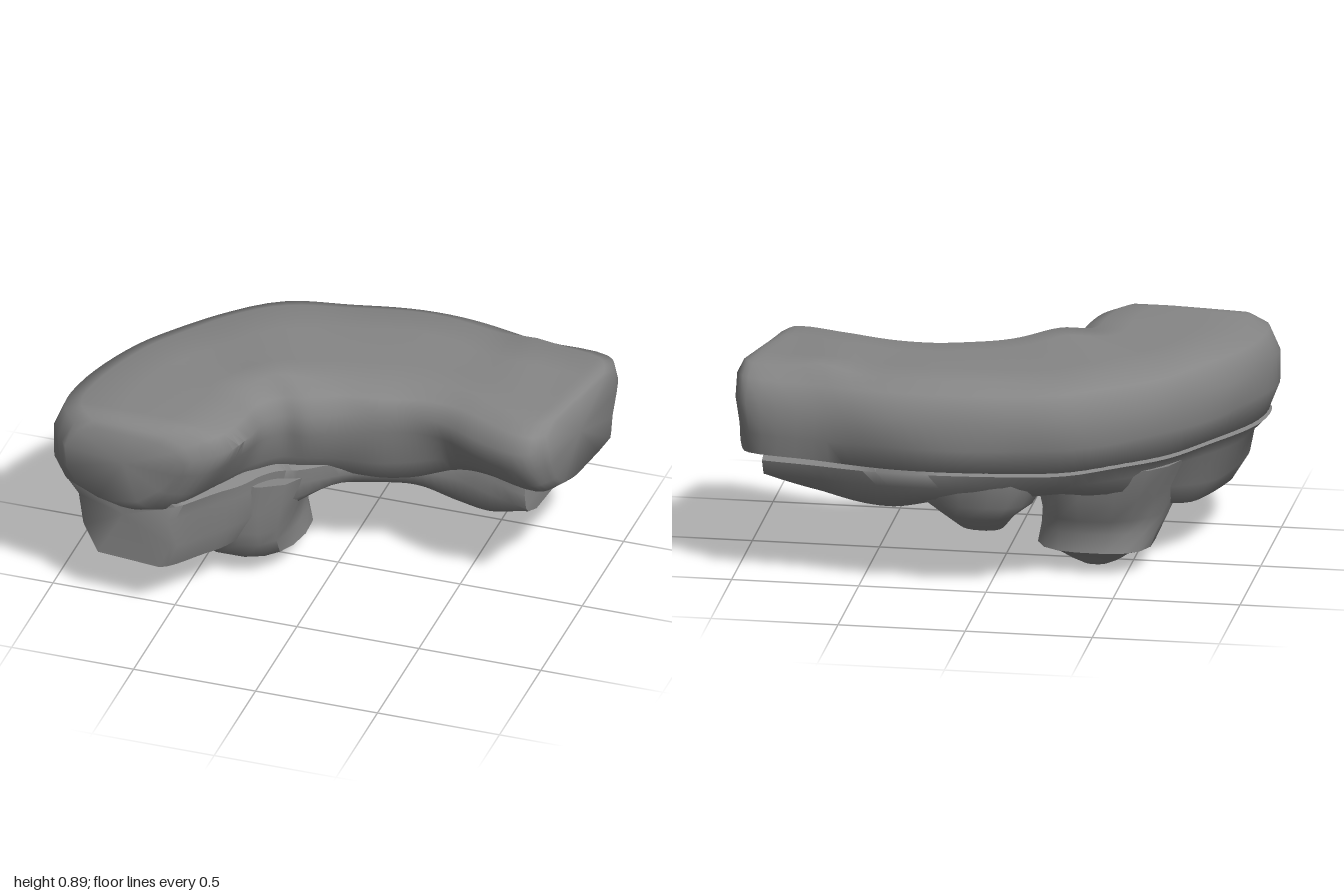
import * as THREE from 'three';
import { toCreasedNormals } from 'three/addons/utils/BufferGeometryUtils.js';

const V = (x, y, z) => new THREE.Vector3(x, y, z);
const { smoothstep } = THREE.MathUtils;

// Skin a list of equal-length rings and close both ends with fans.
function loft(rings) {
  const n = rings[0].length, m = rings.length, pos = [], idx = [];
  rings.forEach(r => r.forEach(p => pos.push(p.x, p.y, p.z)));
  for (let i = 0; i < m - 1; i++) for (let j = 0; j < n; j++) {
    const k = (j + 1) % n, a = i * n + j, b = i * n + k;
    idx.push(a, a + n, b, b, a + n, b + n);
  }
  [0, m - 1].forEach((i, end) => {
    const c = rings[i].reduce((s, p) => s.add(p), V(0, 0, 0)).divideScalar(n);
    const ci = pos.length / 3;
    pos.push(c.x, c.y, c.z);
    for (let j = 0; j < n; j++) {
      const a = i * n + j, b = i * n + (j + 1) % n;
      if (end) idx.push(ci, b, a); else idx.push(ci, a, b);
    }
  });
  const g = new THREE.BufferGeometry();
  g.setAttribute('position', new THREE.Float32BufferAttribute(pos, 3));
  g.setIndex(idx);
  return toCreasedNormals(g, 1.0);
}

// Plan stations around the bend: outer x, z, inner x, z, underside height.
const stations = [
  [-0.91, 0.62, -0.40, 0.63, 0.23], [-0.99, 0.50, -0.28, 0.56, 0.20],
  [-0.98, 0.30, -0.22, 0.40, 0.20], [-0.90, 0.05, -0.20, 0.28, 0.21],
  [-0.78, -0.15, -0.14, 0.21, 0.25], [-0.62, -0.35, -0.05, 0.19, 0.31],
  [-0.36, -0.54, 0.08, 0.13, 0.36], [-0.10, -0.61, 0.20, 0.10, 0.34],
  [0.15, -0.64, 0.33, 0.07, 0.32], [0.40, -0.63, 0.45, 0.08, 0.28],
  [0.65, -0.59, 0.62, 0.14, 0.31], [0.94, -0.53, 0.83, 0.20, 0.42],
  [0.99, -0.43, 0.90, 0.13, 0.46],
];
const outer = new THREE.CatmullRomCurve3(stations.map(s => V(s[0], s[4], s[1])));
const inner = new THREE.CatmullRomCurve3(stations.map(s => V(s[2], 0, s[3])));

// Low swellings of the flat top, and small smooth unevenness of the stone.
const swell = (p, x, z, h) => h * Math.exp(-((p.x - x) ** 2 + (p.z - z) ** 2) / 0.012);
function weather(p) {
  const d = 0.013 * Math.sin(9 * p.x + 7 * p.y) * Math.cos(8 * p.z - 11 * p.y);
  if (p.y > 0.84) p.y += swell(p, -0.23, 0.09, 0.035) + swell(p, 0.65, -0.44, 0.03);
  return p.add(V(d, d * 0.5, -d));
}

// Sweep a section between the two curves; section(t, floor) gives [side, inset, y].
function sweep(t0, t1, steps, section) {
  const rings = [];
  for (let i = 0; i <= steps; i++) {
    const t = t0 + (t1 - t0) * i / steps;
    const o = outer.getPoint(t), e = inner.getPoint(t), floor = o.y;
    o.y = 0;
    const dir = e.clone().sub(o).normalize();
    rings.push(section(t, floor).map(([side, inset, y]) => {
      const p = (side ? e : o).clone().addScaledVector(dir, side ? -inset : inset);
      p.y = y;
      return weather(p);
    }));
  }
  return loft(rings);
}

// Stack horizontal ovals from bottom to top: [y, cx, cz, rx, rz].
function stack(levels, sides = 18) {
  return loft(levels.map(([y, cx, cz, rx, rz], i) => Array.from({ length: sides }, (_, j) => {
    const a = j / sides * Math.PI * 2;
    const r = 1 + 0.04 * Math.sin(3 * a + i);
    const sq = v => Math.sign(v) * Math.pow(Math.abs(v), 0.8);
    return V(cx + rx * r * sq(Math.cos(a)), y, cz + rz * r * sq(Math.sin(a)));
  })));
}

export function createModel() {
  const group = new THREE.Group();
  const mat = new THREE.MeshStandardMaterial({ color: 0x868686 });
  const add = (name, geometry) => {
    const mesh = new THREE.Mesh(geometry, mat);
    mesh.name = name;
    group.add(mesh);
  };

  // Curved flat-topped slab, tapered at both ends; its inner wall leans back
  add('upperSlab', sweep(0, 1, 56, t => {
    const end = Math.min(1, Math.min(t, 1 - t) / 0.07);
    const low = t < 0.5 ? 0.74 : 0.9;
    const k = low + (1 - low) * Math.sqrt(end);
    const front = 1 - smoothstep(t, 0.08, 0.3);
    const wing = smoothstep(t, 0.65, 0.9);
    const lift = 0.05 * wing - 0.05 * Math.exp(-(((t - 0.6) / 0.13) ** 2));
    const lean = 0.11 * front + 0.06 * wing;
    return [
      [0, 0.28, 0.862], [0, 0.12, 0.86], [0, 0.04, 0.825], [0, 0.0, 0.73],
      [0, 0.01, 0.61], [0, 0.04, 0.51 + 0.01 * wing], [0, 0.14, 0.46 + 0.05 * wing],
      [1, 0.2 + lean, 0.45 + lift], [1, 0.09 + lean, 0.48 + lift],
      [1, 0.04 + lean * 0.75, 0.56 + lift * 0.6], [1, 0.01 + lean * 0.3, 0.68],
      [1, 0.0, 0.77], [1, 0.04, 0.83], [1, 0.12, 0.86], [1, 0.24, 0.863],
    ].map(([s, d, y]) => [s, d, 0.68 + (y - 0.68) * k]);
  }));

  // Stepped, narrower layer under the slab
  add('lowerLayer', sweep(0.06, 0.89, 44, (t, b) => {
    const front = 1 - smoothstep(t, 0.08, 0.25);
    const wing = smoothstep(t, 0.35, 0.7);
    const nip = 0.03 * (1 - smoothstep(t, 0.06, 0.1));
    const mid = b + (0.45 - b) * 0.45;
    return [
      [0, 0.10, 0.58], [0, 0.03 + nip, 0.50], [0, 0.085 - 0.035 * wing, 0.44],
      [0, 0.11, mid], [0, 0.18 + 0.08 * wing, b + 0.01],
      [1, 0.11 + 0.12 * wing + 0.12 * front, b],
      [1, 0.06 + 0.09 * wing + 0.12 * front, mid],
      [1, 0.05 + 0.08 * wing + 0.13 * front, 0.44],
      [1, 0.04 + 0.10 * wing + 0.12 * front, 0.50], [1, 0.18 + 0.1 * front, 0.58],
    ];
  }));

  // Hanging foot below the bend
  add('hangingFoot', stack([
    [0, -0.36, -0.02, 0.06, 0.06], [0.025, -0.36, -0.02, 0.11, 0.10],
    [0.075, -0.36, -0.02, 0.17, 0.18], [0.095, -0.365, -0.015, 0.225, 0.235],
    [0.17, -0.38, 0.01, 0.235, 0.25], [0.23, -0.39, 0.01, 0.25, 0.27],
    [0.33, -0.40, 0.0, 0.28, 0.30], [0.46, -0.41, 0.0, 0.33, 0.32],
  ]));

  // Small knob at the back
  add('backKnob', stack([
    [0.22, 0.03, -0.37, 0.04, 0.03], [0.235, 0.03, -0.37, 0.09, 0.08],
    [0.30, 0.04, -0.38, 0.15, 0.14], [0.36, 0.04, -0.38, 0.22, 0.19],
    [0.50, 0.04, -0.36, 0.28, 0.22],
  ]));
  return group;
}
